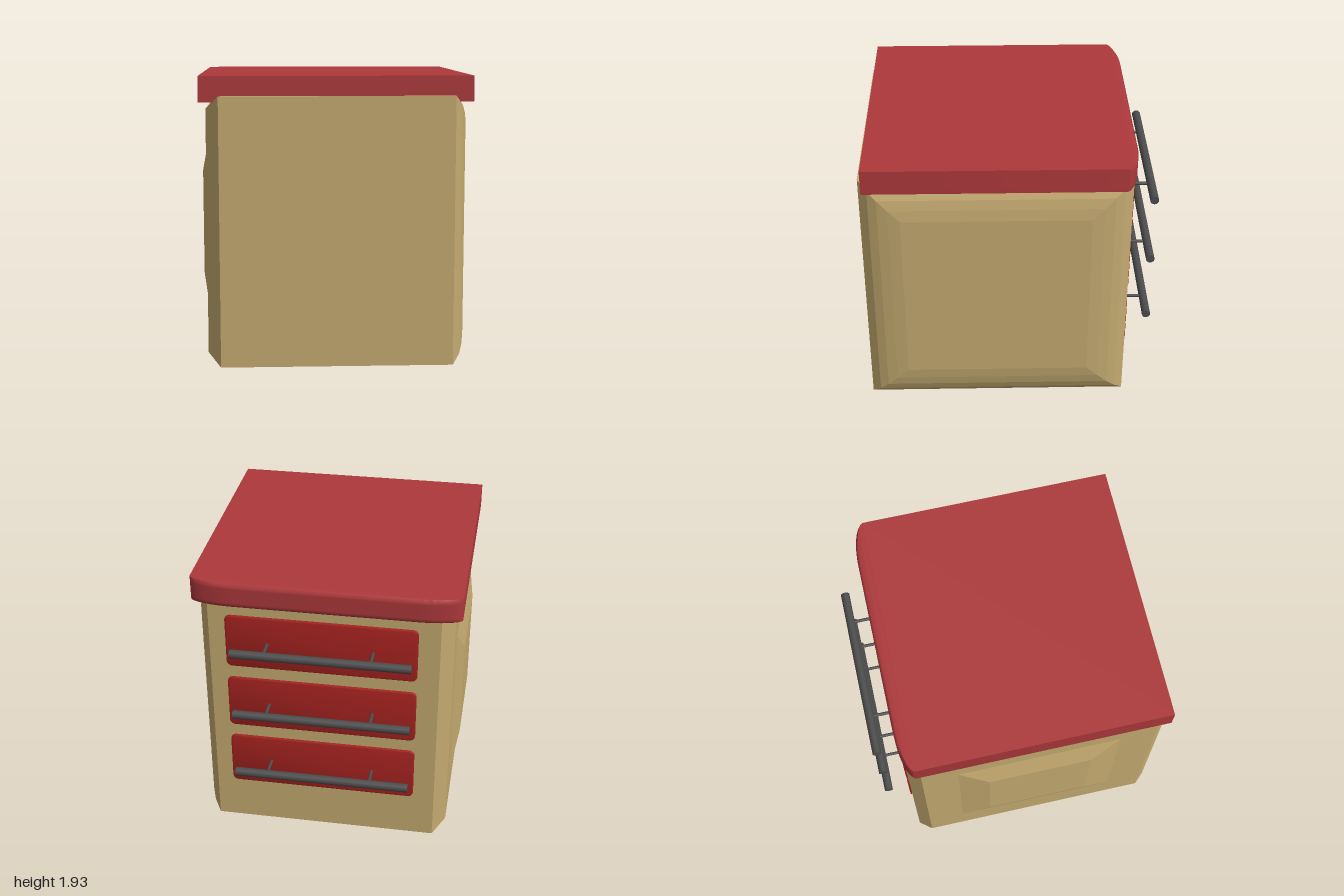
import * as THREE from 'three';
import { toCreasedNormals } from 'three/addons/utils/BufferGeometryUtils.js';

const tan = new THREE.MeshStandardMaterial({ color: 0xc4aa70, flatShading: true });
const red = new THREE.MeshStandardMaterial({ color: 0xac383b });
const drawerRed = new THREE.MeshStandardMaterial({ color: 0xa3221f });
const steel = new THREE.MeshStandardMaterial({ color: 0x4c4c4c });

function add(parent, name, geometry, material, x = 0, y = 0, z = 0) {
  const mesh = new THREE.Mesh(geometry, material);
  mesh.name = name;
  mesh.position.set(x, y, z);
  parent.add(mesh);
  return mesh;
}

// Cabinet: rectangles stacked along x, each [x, inset from the full outline]
function cabinetGeometry() {
  const rings = [
    [-0.9, 0.54], [-0.855, 0.335], [-0.855, 0.085], [-0.77, 0],
    [0.78, 0], [0.83, 0.06], [0.855, 0.12], [0.87, 0.19], [0.88, 0.27],
  ];
  const pos = [], index = [];
  for (const [x, i] of rings) {
    const y0 = i, y1 = 1.8 - i, z0 = -0.8 + i, z1 = 1 - i;
    pos.push(x, y0, z0, x, y1, z0, x, y1, z1, x, y0, z1);
  }
  for (let r = 0; r < rings.length - 1; r++) {
    for (let k = 0; k < 4; k++) {
      const a = r * 4 + k, b = r * 4 + (k + 1) % 4;
      index.push(a, b, b + 4, a, b + 4, a + 4);
    }
  }
  const e = (rings.length - 1) * 4;
  index.push(0, 2, 1, 0, 3, 2, e, e + 1, e + 2, e, e + 2, e + 3);
  const g = new THREE.BufferGeometry();
  g.setAttribute('position', new THREE.Float32BufferAttribute(pos, 3));
  g.setIndex(index);
  const flat = g.toNonIndexed();
  flat.computeVertexNormals();
  return flat;
}

// Worktop: slab with a bowed edge on the drawer side, softened at top and bottom
function worktopGeometry() {
  const s = new THREE.Shape();
  s.moveTo(-0.9, -0.97);
  s.lineTo(0.9, -0.97);
  s.lineTo(0.9, 0.74);
  s.absellipse(0.6, 0.74, 0.3, 0.09, 0, Math.PI / 2, false);
  s.absellipse(-0.6, 0.74, 0.3, 0.09, Math.PI / 2, Math.PI, false);
  s.closePath();
  const h = 0.17, steps = 10;
  const g = new THREE.ExtrudeGeometry(s, { depth: h, steps, bevelEnabled: false, curveSegments: 8 });
  g.rotateX(-Math.PI / 2);
  const p = g.attributes.position;
  for (let i = 0; i < p.count; i++) {
    const y = p.getY(i), z = p.getZ(i);
    if (z < -0.74 && (y < 0.005 || y > h - 0.005)) p.setZ(i, -0.74 + (z + 0.74) * 0.82);
  }
  return toCreasedNormals(g, 0.9);
}

// Drawer front: thin rounded panel with a small bevel
function drawerGeometry(w, h, r) {
  const s = new THREE.Shape(), b = 0.008;
  const x = w / 2 - b, y = h / 2 - b;
  s.absarc(x - r, y - r, r, 0, Math.PI / 2);
  s.absarc(-x + r, y - r, r, Math.PI / 2, Math.PI);
  s.absarc(-x + r, -y + r, r, Math.PI, Math.PI * 1.5);
  s.absarc(x - r, -y + r, r, Math.PI * 1.5, Math.PI * 2);
  s.closePath();
  const g = new THREE.ExtrudeGeometry(s, {
    depth: 0.024, bevelEnabled: true, bevelSize: b, bevelThickness: b, bevelSegments: 2, curveSegments: 4,
  });
  return toCreasedNormals(g, 0.6);
}

export function createModel() {
  const model = new THREE.Group();
  model.name = 'drawerCabinet';
  add(model, 'cabinet', cabinetGeometry(), tan);
  add(model, 'worktop', worktopGeometry(), red, 0, 1.76, 0);

  const front = drawerGeometry(1.29, 0.39, 0.03);
  const bar = new THREE.CylinderGeometry(0.03, 0.03, 1.2, 16).rotateZ(Math.PI / 2);
  const post = new THREE.CylinderGeometry(0.011, 0.011, 0.15, 12).rotateX(Math.PI / 2);

  // Three drawers, each with a bar handle on two posts
  for (let i = 0; i < 3; i++) {
    const drawer = new THREE.Group();
    drawer.name = 'drawer' + (i + 1);
    drawer.position.y = 0.525 + i * 0.485;
    add(drawer, 'drawerFront', front, drawerRed, 0.02, 0, -0.812);
    add(drawer, 'handleBar', bar, steel, 0, 0, -0.97);
    for (const x of [-0.33, 0.38]) add(drawer, 'handlePost', post, steel, x, 0, -0.89);
    model.add(drawer);
  }
  return model;
}
